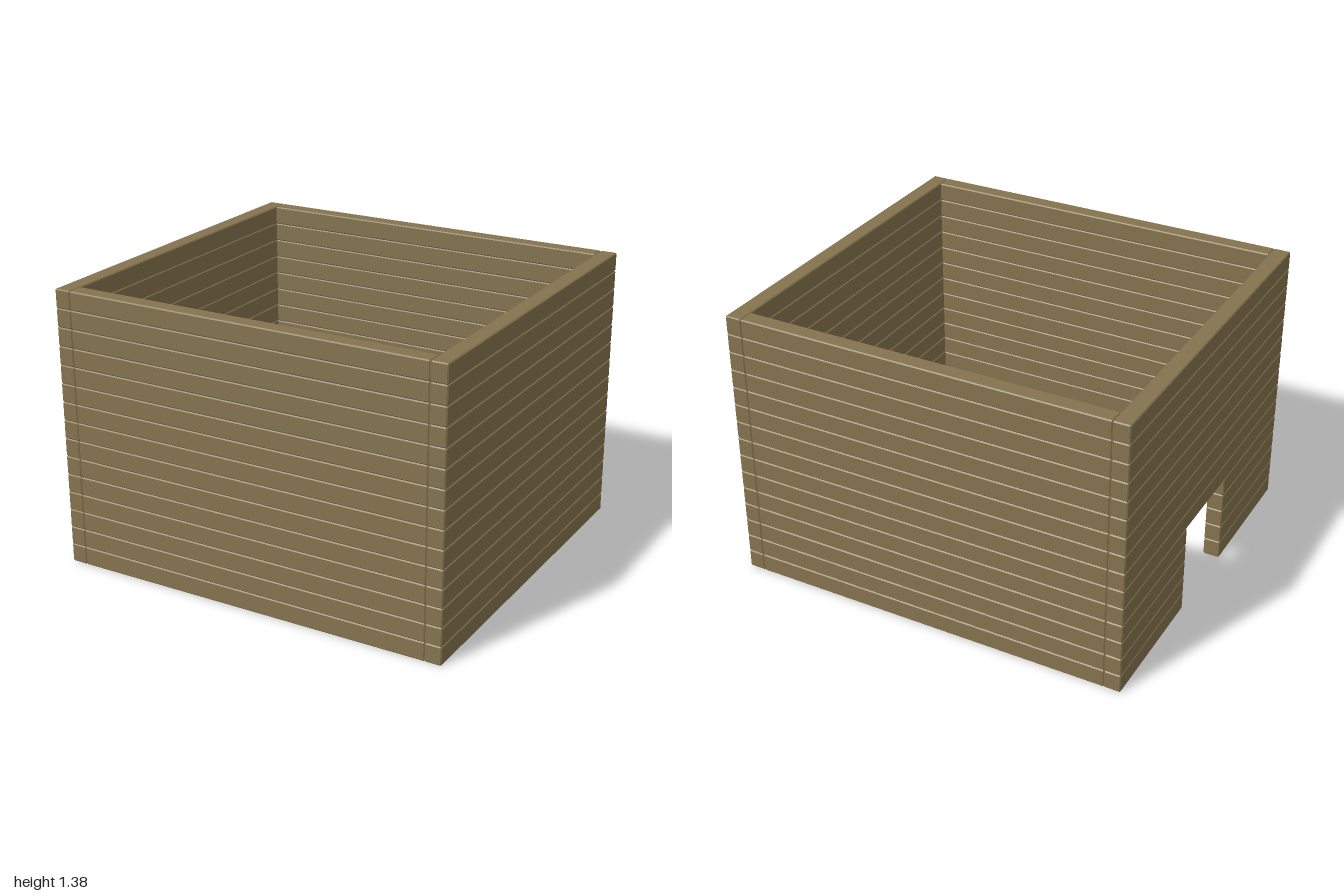
import * as THREE from 'three';

const ROWS = 15, HEIGHT = 1.38, PITCH = HEIGHT / ROWS;
const THICK = 0.082, CHAMFER = 0.005;
const HALF_X = 1, HALF_Z = 0.917;
const DOOR_HALF = 0.227, DOOR_ROWS = 5;

const wood = new THREE.MeshStandardMaterial({ color: 0x84734f, flatShading: true });

// Plank with every edge chamfered, lying along z and centred on the origin
function plankGeometry(length) {
  const w = THICK / 2, h = PITCH / 2, c = CHAMFER;
  const section = new THREE.Shape([
    [w, -h + c], [w, h - c], [w - c, h], [-w + c, h],
    [-w, h - c], [-w, -h + c], [-w + c, -h], [w - c, -h],
  ].map(([x, y]) => new THREE.Vector2(x, y)));
  const geometry = new THREE.ExtrudeGeometry(section, {
    depth: length - 2 * c, steps: 1,
    bevelEnabled: true, bevelSegments: 1,
    bevelThickness: c, bevelSize: c, bevelOffset: -c,
  });
  return geometry.translate(0, 0, c - length / 2);
}

export function createModel() {
  const model = new THREE.Group();
  model.name = 'plankEnclosure';

  const sideGeo = plankGeometry(2 * HALF_Z);
  const crossGeo = plankGeometry(2 * (HALF_X - THICK)).rotateY(Math.PI / 2);
  const jambLength = HALF_Z - DOOR_HALF;
  const jambGeo = plankGeometry(jambLength);

  const wall = (name) => {
    const group = new THREE.Group();
    group.name = name;
    model.add(group);
    return group;
  };
  const addPlank = (group, geometry, name, x, row, z) => {
    const mesh = new THREE.Mesh(geometry, wood);
    mesh.name = name;
    mesh.position.set(x, (row + 0.5) * PITCH, z);
    group.add(mesh);
  };

  const front = wall('frontWall'), back = wall('backWall');
  const left = wall('leftWall'), right = wall('rightWallWithDoorway');
  const x = HALF_X - THICK / 2, z = HALF_Z - THICK / 2;

  for (let row = 0; row < ROWS; row++) {
    addPlank(front, crossGeo, 'frontPlank', 0, row, z);
    addPlank(back, crossGeo, 'backPlank', 0, row, -z);
    addPlank(left, sideGeo, 'leftPlank', x, row, 0);

    // The lowest rows of this wall are split by the doorway
    if (row < DOOR_ROWS) {
      for (const s of [-1, 1]) {
        addPlank(right, jambGeo, 'doorwayPlank', -x, row, s * (DOOR_HALF + jambLength / 2));
      }
    } else {
      addPlank(right, sideGeo, 'rightPlank', -x, row, 0);
    }
  }
  return model;
}
